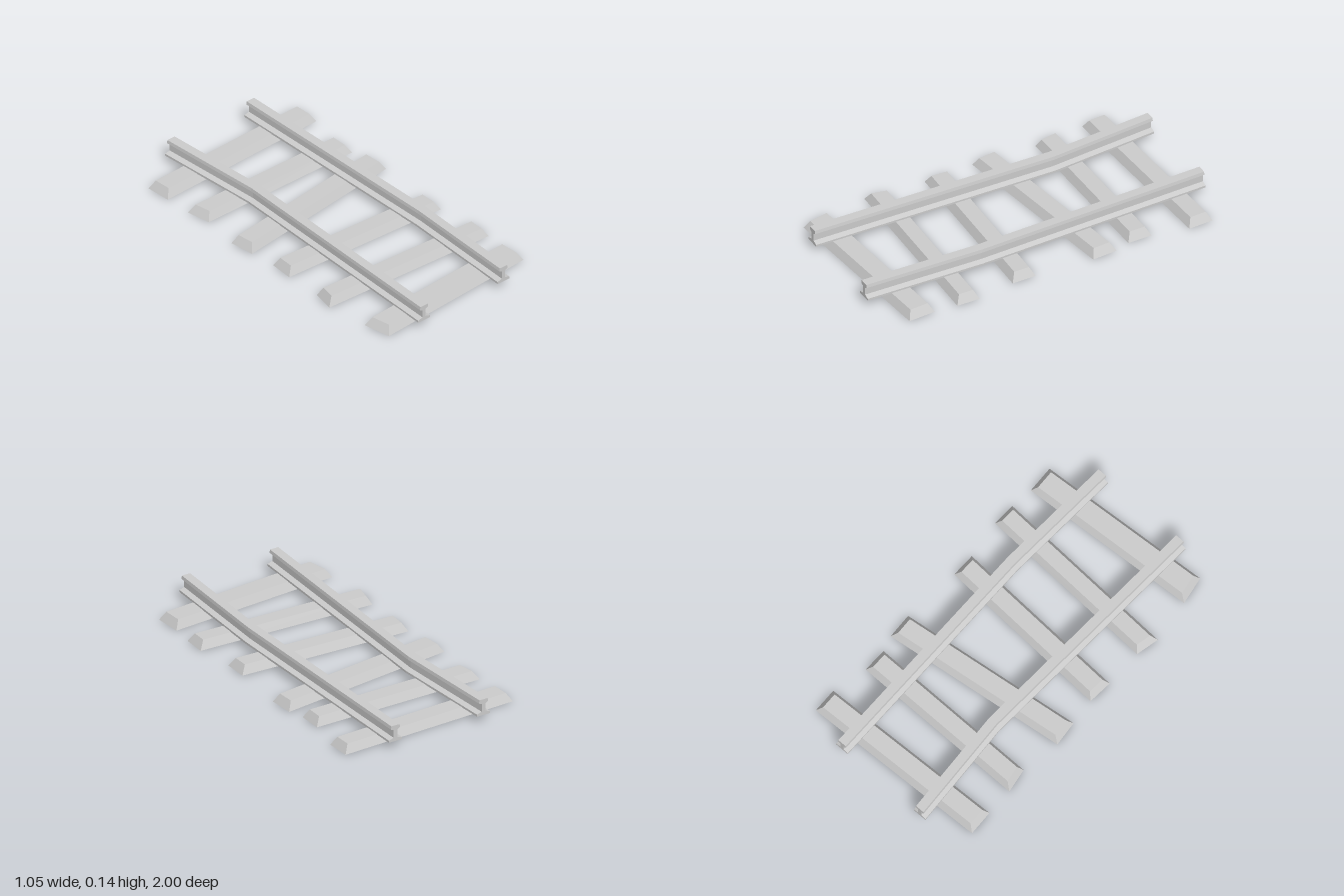
import * as THREE from 'three';

const material = new THREE.MeshStandardMaterial({ color: 0xcccccc, flatShading: true });

// Half of the rail section from foot to head: [half width, y]
const railHalf = [[0.04, 0.045], [0.04, 0.057], [0.011, 0.066], [0.011, 0.11], [0.028, 0.118], [0.025, 0.136]];

// Footprint corners [x, z] of each sleeper: back left end, back right end, front right end, front left end
const sleepers = [
  [[-0.527, -0.881], [0.522, -0.92], [0.527, -0.78], [-0.519, -0.738]],
  [[-0.516, -0.582], [0.481, -0.582], [0.481, -0.445], [-0.492, -0.445]],
  [[-0.527, -0.225], [0.508, -0.36], [0.516, -0.217], [-0.511, -0.082]],
  [[-0.495, 0.066], [0.492, 0.111], [0.492, 0.246], [-0.503, 0.204]],
  [[-0.5, 0.418], [0.524, 0.46], [0.521, 0.59], [-0.527, 0.548]],
  [[-0.492, 0.788], [0.508, 0.717], [0.516, 0.87], [-0.463, 0.944]],
];

// Box reshaped into a crooked plank with bevelled sides
function makeSleeper(corners) {
  const height = 0.047, endInset = 0.029, sideInset = 0.024;
  const pts = corners.map(([x, z]) => new THREE.Vector2(x, z));
  const toward = (from, to, d) => to.clone().sub(from).setLength(d);
  const top = pts.map((p, i) => p.clone()
    .add(toward(p, pts[[1, 0, 3, 2][i]], endInset))
    .add(toward(p, pts[[3, 2, 1, 0][i]], sideInset)));
  const geometry = new THREE.BoxGeometry(1, 1, 1);
  const pos = geometry.attributes.position;
  for (let i = 0; i < pos.count; i++) {
    const right = pos.getX(i) > 0, front = pos.getZ(i) > 0, up = pos.getY(i) > 0;
    const corner = (up ? top : pts)[front ? (right ? 2 : 3) : (right ? 1 : 0)];
    pos.setXYZ(i, corner.x, up ? height : 0, corner.y);
  }
  geometry.computeVertexNormals();
  return new THREE.Mesh(geometry, material);
}

// Extruded rail section, kinked sideways at one point
function makeRail(x, bendX, bendZ) {
  const outline = [
    ...railHalf.map(([w, y]) => new THREE.Vector2(w, y)),
    ...railHalf.map(([w, y]) => new THREE.Vector2(-w, y)).reverse(),
  ];
  const geometry = new THREE.ExtrudeGeometry(new THREE.Shape(outline), { depth: 2, steps: 2, bevelEnabled: false });
  geometry.translate(0, 0, -1);
  const pos = geometry.attributes.position;
  for (let i = 0; i < pos.count; i++) {
    const middle = Math.abs(pos.getZ(i)) < 0.5;
    pos.setX(i, pos.getX(i) + (middle ? bendX : x));
    if (middle) pos.setZ(i, bendZ);
  }
  geometry.computeVertexNormals();
  return new THREE.Mesh(geometry, material);
}

export function createModel() {
  const model = new THREE.Group();
  model.name = 'railTrack';

  sleepers.forEach((corners, i) => {
    const sleeper = makeSleeper(corners);
    sleeper.name = `sleeper${i + 1}`;
    model.add(sleeper);
  });

  const rightRail = makeRail(-0.271, -0.227, -0.39);
  rightRail.name = 'rightRail';
  const leftRail = makeRail(0.268, 0.293, 0.33);
  leftRail.name = 'leftRail';
  model.add(rightRail, leftRail);
  return model;
}
